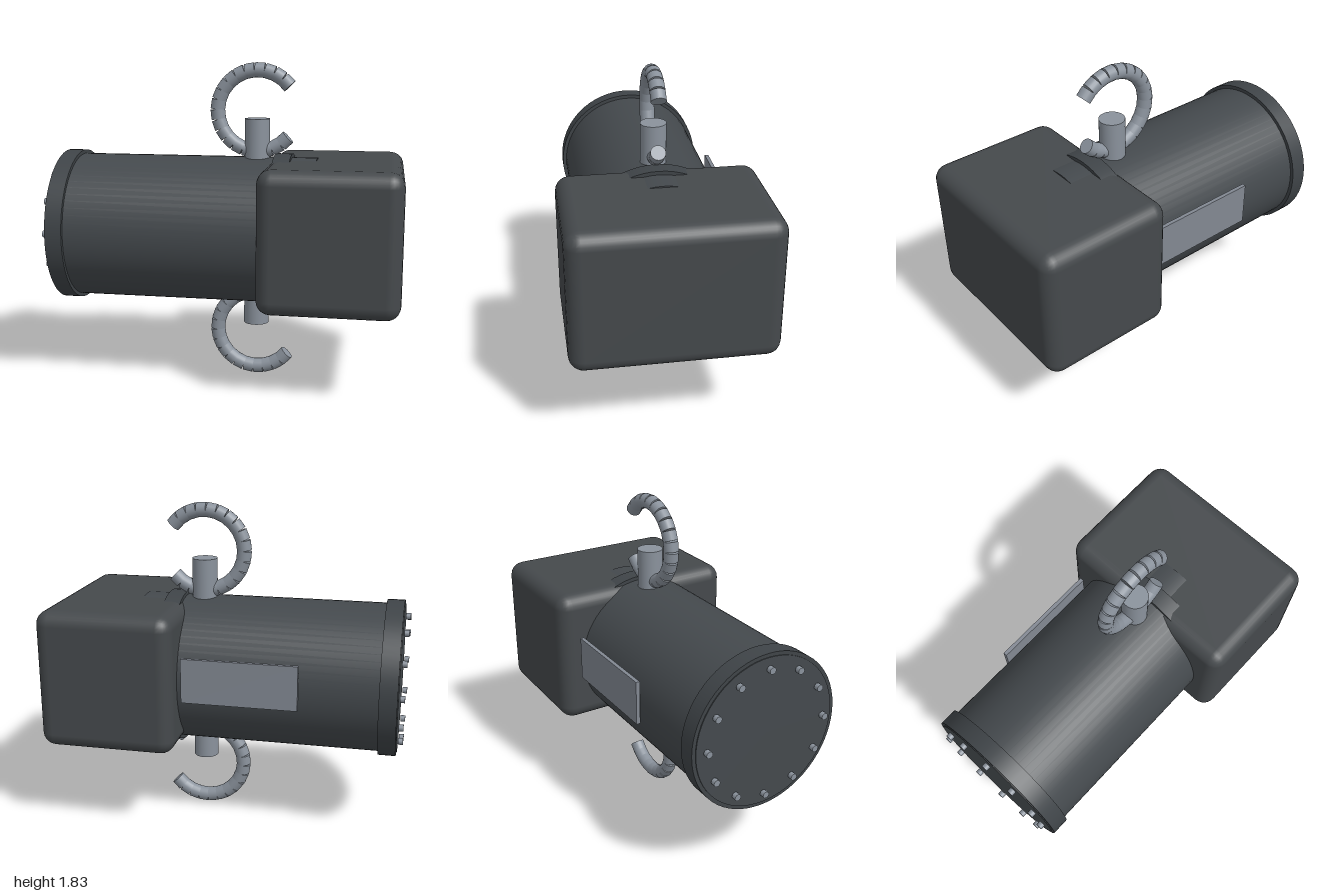
import * as THREE from 'three';
import { RoundedBoxGeometry } from 'three/addons/geometries/RoundedBoxGeometry.js';

const material = (name, color) => {
  const m = new THREE.MeshStandardMaterial({ color });
  m.name = name;
  return m;
};

export function createModel() {
  const model = new THREE.Group();
  model.name = 'cylinderHousing';
  const dark = material('dark grey body', 0x44494d);
  const charcoal = material('charcoal flange', 0x3f4448);
  const boxGrey = material('graphite box', 0x45494c);
  const steel = material('steel', 0x8a929c);
  const plateGrey = material('plate grey', 0x828892);

  const add = (parent, name, geometry, mat, x, y, z) => {
    const mesh = new THREE.Mesh(geometry, mat);
    mesh.name = name;
    mesh.position.set(x, y, z);
    parent.add(mesh);
    return mesh;
  };
  const axisY = 0.88;

  // Cylinder lying along x, from x0 to x1
  const barrel = (name, radius, x0, x1, mat, sides, y = axisY, z = 0) => {
    const g = new THREE.CylinderGeometry(radius, radius, x1 - x0, sides).rotateZ(Math.PI / 2);
    return add(model, name, g, mat, (x0 + x1) / 2, y, z);
  };

  // Main body with its two flanges
  barrel('body', 0.42, -0.968, 0.513, dark, 64);
  barrel('endFlange', 0.441, -0.963, -0.866, charcoal, 64);
  barrel('boxFlange', 0.441, 0.273, 0.369, charcoal, 64);

  // Ring of bolts on the end cover
  for (let i = 0; i < 12; i++) {
    const a = (i / 12) * Math.PI * 2;
    barrel('bolt', 0.019, -1, -0.973, steel, 12, axisY + 0.36 * Math.cos(a), 0.36 * Math.sin(a));
  }

  // Rounded terminal box
  add(model, 'terminalBox', new RoundedBoxGeometry(0.77, 0.784, 1.1, 3, 0.08), boxGrey, 0.615, 0.9, 0);

  // Plate on the back of the body
  add(model, 'plate', new THREE.BoxGeometry(0.64, 0.25, 0.022), plateGrey, -0.12, 0.925, -0.436);

  // Post carrying an open ring of short segments
  const makeHook = (name) => {
    const hook = new THREE.Group();
    hook.name = name;
    add(hook, 'post', new THREE.CylinderGeometry(0.072, 0.072, 0.3, 32), steel, 0.168, 0.45, 0);
    const segments = 20, radius = 0.228;
    const start = THREE.MathUtils.degToRad(37);
    const step = THREE.MathUtils.degToRad(283) / segments;
    const link = new THREE.CylinderGeometry(0.042, 0.042, radius * step, 20);
    for (let i = 0; i < segments; i++) {
      const a = start + (i + 0.5) * step;
      const mesh = add(hook, 'ringSegment', link, steel,
        0.168 + radius * Math.cos(a), 0.644 + radius * Math.sin(a), 0);
      mesh.rotation.z = a;
    }
    hook.position.y = 0.92;
    model.add(hook);
    return hook;
  };
  makeHook('upperHook');
  makeHook('lowerHook').rotation.x = Math.PI;

  return model;
}
